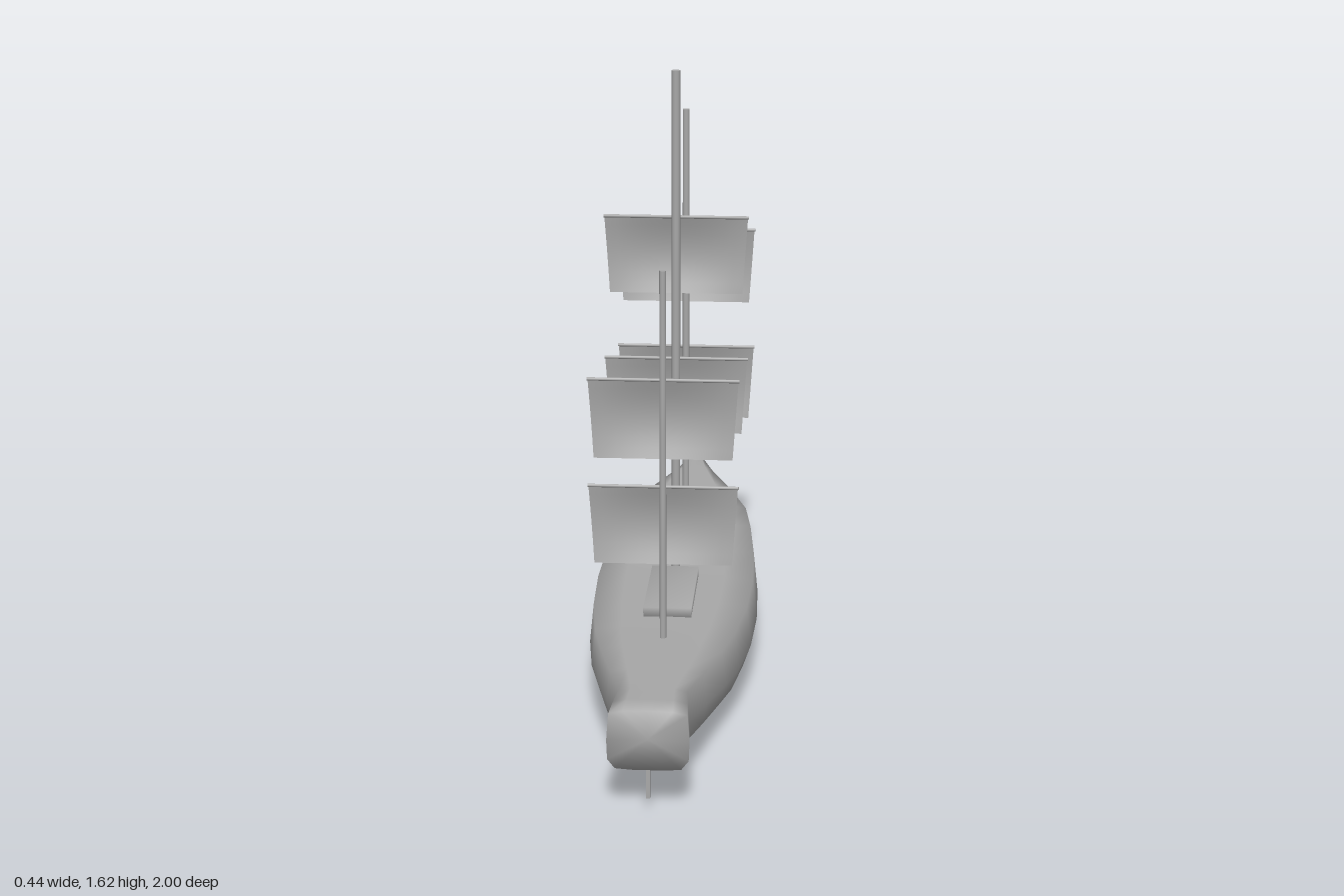
import * as THREE from 'three';
import { mergeVertices } from 'three/addons/utils/BufferGeometryUtils.js';

const grey = new THREE.MeshStandardMaterial({ color: 0xa8a8a8 });
grey.name = 'plain grey';
const sailGrey = grey.clone();
sailGrey.name = 'sail grey';
sailGrey.side = THREE.DoubleSide;

function add(parent, name, geometry, x = 0, y = 0, z = 0, material = grey) {
  const mesh = new THREE.Mesh(geometry, material);
  mesh.name = name;
  mesh.position.set(x, y, z);
  parent.add(mesh);
  return mesh;
}

// Hull stations from bow to stern: z, half width, keel height, deck height
const stations = [
  [-1, 0.002, 0.11, 0.285], [-0.92, 0.027, 0.1, 0.282], [-0.84, 0.055, 0.09, 0.278],
  [-0.7, 0.117, 0.07, 0.272], [-0.54, 0.176, 0.046, 0.265], [-0.4, 0.197, 0.028, 0.258],
  [-0.2, 0.216, 0.01, 0.25], [0, 0.222, 0.005, 0.246], [0.2, 0.215, 0.01, 0.245],
  [0.4, 0.192, 0.028, 0.247], [0.54, 0.164, 0.047, 0.25], [0.7, 0.125, 0.07, 0.254],
  [0.84, 0.09, 0.092, 0.259], [0.92, 0.096, 0.1, 0.262], [1, 0.101, 0.11, 0.264],
];
// Half cross-sections as fractions of width and height, keel to deck
const midSection = [[0, 0], [0.32, 0.025], [0.62, 0.065], [0.9, 0.23], [1, 0.49], [0.95, 0.95], [0.6, 0.99], [0, 1]];
const sternSection = [[0, 0], [0.4, 0], [0.8, 0.02], [0.98, 0.17], [1, 0.49], [0.95, 0.94], [0.6, 0.99], [0, 1]];

function hullGeometry() {
  const positions = [], index = [];
  const n = midSection.length * 2 - 2;
  for (const [z, w, keel, deck] of stations) {
    const t = THREE.MathUtils.smoothstep(z, 0.5, 1);
    for (let j = 0; j < n; j++) {
      const k = j < midSection.length ? j : n - j;
      const side = j < midSection.length ? 1 : -1;
      const fx = THREE.MathUtils.lerp(midSection[k][0], sternSection[k][0], t);
      const fy = THREE.MathUtils.lerp(midSection[k][1], sternSection[k][1], t);
      positions.push(side * fx * w, keel + fy * (deck - keel), z);
    }
  }
  const last = (stations.length - 1) * n;
  for (let j = 0; j < n; j++) {
    const next = (j + 1) % n;
    for (let i = 0; i < stations.length - 1; i++) {
      const a = i * n + j, b = i * n + next;
      index.push(a, b, b + n, a, b + n, a + n);
    }
    // Transom, fanned from a centre point
    index.push(last + j, last + next, last + n);
  }
  positions.push(0, 0.19, 1);
  const geometry = new THREE.BufferGeometry();
  geometry.setAttribute('position', new THREE.Float32BufferAttribute(positions, 3));
  geometry.setIndex(index);
  geometry.computeVertexNormals();
  return geometry;
}

// Sail hanging from y = 0, narrowing downwards and bellied towards the bow
function sailGeometry() {
  const height = 0.208;
  const geometry = new THREE.PlaneGeometry(2, 1, 12, 8);
  const p = geometry.attributes.position;
  for (let i = 0; i < p.count; i++) {
    const u = p.getX(i), v = 0.5 - p.getY(i);
    const belly = Math.sin(Math.PI * v) * (0.3 + 0.7 * (1 - u * u));
    p.setXYZ(i, u * (0.19 - 0.014 * v), -v * height, -0.022 * belly);
  }
  geometry.computeVertexNormals();
  return geometry;
}

// Box with its corner normals shared for soft shading
function softBox(w, h, d) {
  const geometry = new THREE.BoxGeometry(w, h, d);
  geometry.deleteAttribute('normal');
  geometry.deleteAttribute('uv');
  const merged = mergeVertices(geometry);
  merged.computeVertexNormals();
  return merged;
}

export function createModel() {
  const ship = new THREE.Group();
  ship.name = 'sailingShip';
  add(ship, 'hull', hullGeometry());
  add(ship, 'deckhouse', softBox(0.126, 0.04, 0.32), 0, 0.25, 0.16);
  add(ship, 'rudder', new THREE.BoxGeometry(0.01, 0.1, 0.014), 0, 0.085, 0.992);

  // Masts, each with two yards and sails
  const masts = [
    { name: 'mizzen', z: 0.475, top: 1.222, radius: 0.0085, yards: [0.937, 0.655] },
    { name: 'main', z: -0.022, top: 1.63, radius: 0.0115, yards: [1.238, 0.85] },
    { name: 'fore', z: -0.448, top: 1.44, radius: 0.0095, yards: [1.1, 0.762] },
  ];
  const sail = sailGeometry();
  const yard = new THREE.CylinderGeometry(0.0045, 0.0045, 0.384, 8).rotateZ(Math.PI / 2);
  for (const { name, z, top, radius, yards } of masts) {
    const rig = new THREE.Group();
    rig.name = name + 'Rig';
    rig.position.z = z;
    ship.add(rig);
    const length = top - 0.22;
    add(rig, name + 'Mast', new THREE.CylinderGeometry(radius, radius, length, 12), 0, 0.22 + length / 2);
    for (const y of yards) {
      add(rig, name + 'Yard', yard, 0, y, -0.004);
      add(rig, name + 'Sail', sail, 0, y, -0.004, sailGrey);
    }
  }
  return ship;
}
